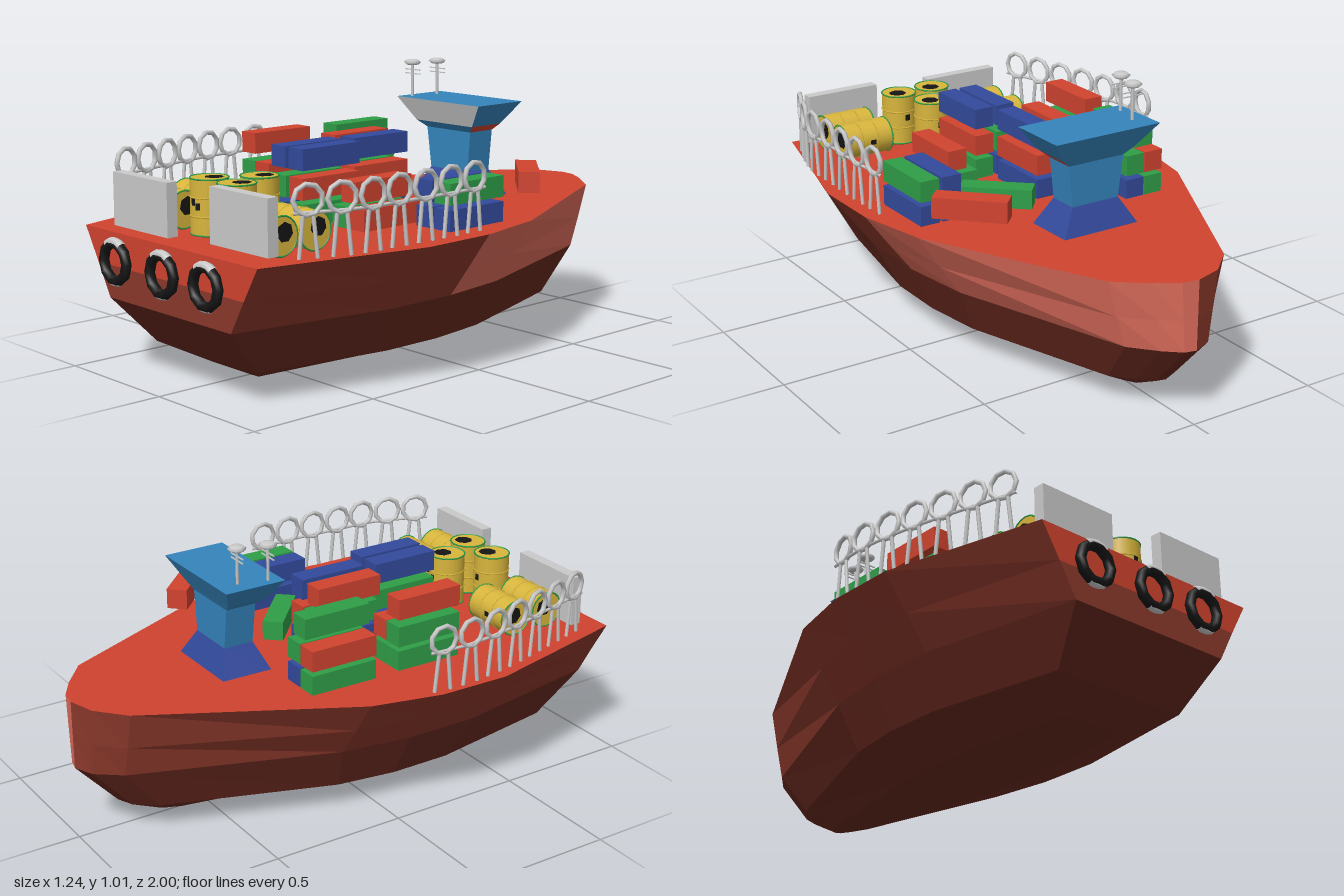
import * as THREE from 'three';

const mat = (name, color) => {
  const m = new THREE.MeshStandardMaterial({ color });
  m.name = name;
  return m;
};

export function createModel() {
  const M = {
    red: mat('deck red', 0xd0432f),
    salmon: mat('faded red', 0xdc6c5b),
    belt: mat('rusty red', 0x8a382b),
    keel: mat('dark keel', 0x66281e),
    navy: mat('container blue', 0x334a9c),
    blue: mat('bridge blue', 0x3584bc),
    green: mat('container green', 0x2f9e48),
    yellow: mat('barrel yellow', 0xd8b53c),
    grey: mat('light grey', 0xcacaca),
    black: mat('tyre black', 0x151515),
  };
  const ship = new THREE.Group();
  ship.name = 'cargoShip';

  const add = (parent, name, geo, material, x = 0, y = 0, z = 0) => {
    const m = new THREE.Mesh(geo, material);
    m.name = name;
    m.position.set(x, y, z);
    parent.add(m);
    return m;
  };
  const group = (parent, name, x = 0, y = 0, z = 0) => {
    const g = new THREE.Group();
    g.name = name;
    g.position.set(x, y, z);
    parent.add(g);
    return g;
  };

  // Faceted skin over a stack of rings (top to bottom), one mesh per colour
  const loft = (name, rings, pick, topMat, bottomMat) => {
    const g = group(ship, name), faces = new Map();
    const put = (m, ...pts) => {
      if (!faces.has(m)) faces.set(m, []);
      pts.forEach(p => faces.get(m).push(...p));
    };
    const n = rings[0].length;
    const mid = r => [0, 1, 2].map(k => r.reduce((s, p) => s + p[k], 0) / n);
    const top = rings[0], low = rings[rings.length - 1];
    for (let i = 0; i < n; i++) {
      const j = (i + 1) % n;
      put(topMat, mid(top), top[j], top[i]);
      put(bottomMat, mid(low), low[i], low[j]);
      for (let l = 0; l + 1 < rings.length; l++) {
        const a = rings[l], b = rings[l + 1], m = pick(i, l, a[i], a[j]);
        put(m, a[i], a[j], b[i]);
        put(m, b[i], a[j], b[j]);
      }
    }
    faces.forEach((arr, m) => {
      const geo = new THREE.BufferGeometry();
      geo.setAttribute('position', new THREE.Float32BufferAttribute(arr, 3));
      geo.computeVertexNormals();
      add(g, name + ' ' + m.name, geo, m);
    });
  };

  // Hull: deck outline from the bow round the +x side, shrinking downwards
  const outline = [[0, -1], [0.06, -0.99], [0.14, -0.94], [0.25, -0.85], [0.565, -0.19], [0.62, 0.08],
    [0.62, 0.36], [0.47, 0.955], [-0.47, 0.955], [-0.62, 0.36], [-0.62, 0.09], [-0.565, -0.17],
    [-0.2, -0.88], [-0.1, -0.97]];
  const hullRing = (y, sx, sz, dx = 0, dz = 0) => outline.map(([x, z]) =>
    [x * sx + dx, y === null ? 0.512 - 0.009 * z : y, z * sz + dz]);
  const hullRings = [hullRing(null, 1, 1), hullRing(0.385, 0.85, 1), hullRing(0.27, 0.71, 1),
    hullRing(0.1, 0.585, 0.845), hullRing(0.03, 0.26, 0.71), hullRing(0, 0.02, 0.02, 0.05, 0.15)];
  loft('hull', hullRings, (i, l, a, b) => {
    if (l > 1) return M.keel;
    if (i === 7) return l ? M.belt : M.red;
    return a[0] >= 0 && b[0] > 0 && a[2] + b[2] < 0.1 ? M.salmon : M.belt;
  }, M.red, M.keel);

  // Bridge tower: flared foot, waist and overhanging roof
  const rect = (y, x0, x1, z0, z1) => [[x0, y, z0], [x1, y, z0], [x1, y, z1], [x0, y, z1]];
  loft('bridge', [
    rect(0.87, -0.208, 0.218, -0.51, -0.28),
    rect(0.785, -0.135, 0.155, -0.463, -0.312),
    rect(0.76, -0.1, 0.125, -0.45, -0.335),
    rect(0.61, -0.08, 0.11, -0.45, -0.337),
    rect(0.51, -0.14, 0.17, -0.492, -0.295),
  ], (i, l) => {
    if (l === 0) return i === 2 ? M.grey : M.blue;
    if (l === 1) return i === 1 ? M.red : M.blue;
    return l === 2 ? M.blue : M.navy;
  }, M.blue, M.navy);

  // Masts with dish and cross bars
  for (const [x, z] of [[-0.148, -0.432], [-0.175, -0.328]]) {
    const mast = group(ship, 'mast', x, 0.86, z);
    add(mast, 'mastPole', new THREE.CylinderGeometry(0.006, 0.006, 0.14, 6), M.grey, 0, 0.07, 0);
    add(mast, 'mastDish', new THREE.SphereGeometry(0.033, 10, 4).scale(1, 0.38, 1), M.grey, 0, 0.138, 0);
    for (const y of [0.095, 0.11])
      add(mast, 'mastBar', new THREE.BoxGeometry(0.08, 0.004, 0.004), M.grey, 0, y, 0);
  }

  // Containers: x, z, level, colour, turn
  const boxGeo = new THREE.BoxGeometry(0.075, 0.075, 0.26);
  const levels = [0.547, 0.638, 0.74];
  const cargo = group(ship, 'containers');
  const box = (x, z, level, c, turn = 0) => {
    add(cargo, 'container', boxGeo, M[c], x, levels[level], z).rotation.y = turn;
  };
  [
    [-0.31, -0.16, 2, 'green'], [-0.355, -0.16, 1, 'red'], [-0.275, -0.16, 1, 'green'],
    [-0.355, -0.16, 0, 'green'], [-0.275, -0.16, 0, 'navy'],
    [-0.347, 0.2, 2, 'red'], [-0.347, 0.2, 1, 'green'], [-0.27, 0.2, 1, 'red'],
    [-0.347, 0.2, 0, 'green'], [-0.27, 0.2, 0, 'green'],
    [-0.117, 0.02, 2, 'red'], [-0.012, 0.02, 2, 'navy'], [-0.098, 0.02, 1, 'green'],
    [-0.012, 0.02, 1, 'red'], [-0.098, 0.02, 0, 'navy'], [-0.012, 0.02, 0, 'navy'],
    [-0.033, 0.32, 2, 'navy'], [0.058, 0.32, 2, 'navy'], [-0.033, 0.32, 1, 'green'],
    [0.058, 0.32, 1, 'red'], [-0.033, 0.32, 0, 'navy'], [0.058, 0.32, 0, 'green'],
    [0.228, 0.23, 1, 'red'], [0.182, 0.23, 0, 'green'], [0.267, 0.23, 0, 'red'],
    [0.38, 0.02, 1, 'navy'], [0.467, 0.02, 1, 'green'], [0.38, 0.02, 0, 'navy'],
    [0.467, 0.02, 0, 'navy'],
    [0.17, -0.072, 0, 'green', 0.83], [0.427, -0.316, 1, 'red', 0.79],
  ].forEach(c => box(...c));

  // Barrels: ribbed drum with green rims and black stains
  const R = 0.066, H = 0.19;
  const drum = new THREE.CylinderGeometry(R, R, H, 20);
  const rib = new THREE.TorusGeometry(R, 0.003, 5, 20).rotateX(Math.PI / 2);
  const stain = new THREE.CircleGeometry(0.034, 7).rotateX(-Math.PI / 2);
  const barrel = (x, y, z, turn) => {
    const b = group(ship, 'barrel', x, y, z);
    add(b, 'barrelBody', drum, M.yellow);
    for (const h of [-0.032, 0.032]) add(b, 'barrelRib', rib, M.yellow, 0, h, 0);
    for (const s of [-1, 1]) {
      add(b, 'barrelRim', rib, M.green, 0, s * H / 2, 0);
      const t = add(b, 'endStain', stain, M.black, 0.012, s * (H / 2 + 0.002), -0.012);
      if (s < 0) t.rotation.x = Math.PI;
    }
    for (const [a, h] of [[-0.15, 0.018], [0.15, 0.004], [3, 0.01]])
      add(b, 'sideStain', new THREE.CylinderGeometry(R + 0.002, R + 0.002, 0.024, 3, 1, true, a, 0.28),
        M.black, 0, h, 0);
    b.rotation.set(0, 0, turn);
  };
  for (const [x, z] of [[0.043, 0.597], [-0.044, 0.742], [0.104, 0.742]]) barrel(x, 0.605, z, 0);
  for (const [x, z] of [[-0.26, 0.613], [-0.26, 0.757], [0.31, 0.663], [0.31, 0.803]])
    barrel(x, 0.574, z, Math.PI / 2);

  // Stern panels
  add(ship, 'sternPanel', new THREE.BoxGeometry(0.31, 0.19, 0.042), M.grey, -0.242, 0.597, 0.866);
  add(ship, 'sternPanel', new THREE.BoxGeometry(0.295, 0.19, 0.042), M.grey, 0.292, 0.616, 0.866);

  // Tyre fenders on the stern, with worn grey crowns
  for (const x of [-0.265, 0, 0.235]) {
    const t = group(ship, 'tyreFender', x, 0.408, 0.978);
    const ring = (name, r, tube, arc, m, turn) => {
      add(t, name, new THREE.TorusGeometry(r, tube, 8, arc > 6 ? 10 : 4, arc), m).rotation.z = turn;
    };
    ring('tyre', 0.066, 0.018, Math.PI * 2, M.black, 0);
    ring('tyreCrown', 0.07, 0.0165, 1.2, M.grey, Math.PI / 2 - 0.6);
    ring('tyreFoot', 0.07, 0.0145, 0.8, M.grey, -Math.PI / 2 - 0.4);
  }

  // Hooped railings along both sides of the deck
  const railing = (points) => {
    const rail = group(ship, 'railing');
    const curve = new THREE.CatmullRomCurve3(points.map(([x, z]) => new THREE.Vector3(x, 0, z)));
    const hoop = new THREE.TorusGeometry(0.05, 0.009, 6, 9);
    const leg = new THREE.CylinderGeometry(0.007, 0.007, 0.15, 6);
    for (let i = 0; i < 7; i++) {
      const u = 0.065 + i * 0.145;
      const p = curve.getPointAt(u), d = curve.getTangentAt(u);
      const post = group(rail, 'railHoop', p.x, 0, p.z);
      post.rotation.y = Math.atan2(-d.z, d.x);
      add(post, 'hoop', hoop, M.grey, 0, 0.703, 0);
      for (const s of [-1, 1])
        add(post, 'hoopLeg', leg, M.grey, s * 0.024, 0.59, 0).rotation.z = s * 0.1;
    }
    const bar = new THREE.TubeGeometry(curve, 24, 0.006, 6);
    add(rail, 'railBar', bar, M.grey, 0, 0.662, 0);
  };
  railing([[-0.595, 0.05], [-0.603, 0.2], [-0.575, 0.4], [-0.515, 0.63], [-0.458, 0.83]]);
  railing([[0.567, 0.05], [0.573, 0.25], [0.568, 0.45], [0.562, 0.61], [0.492, 0.83]]);

  return ship;
}
